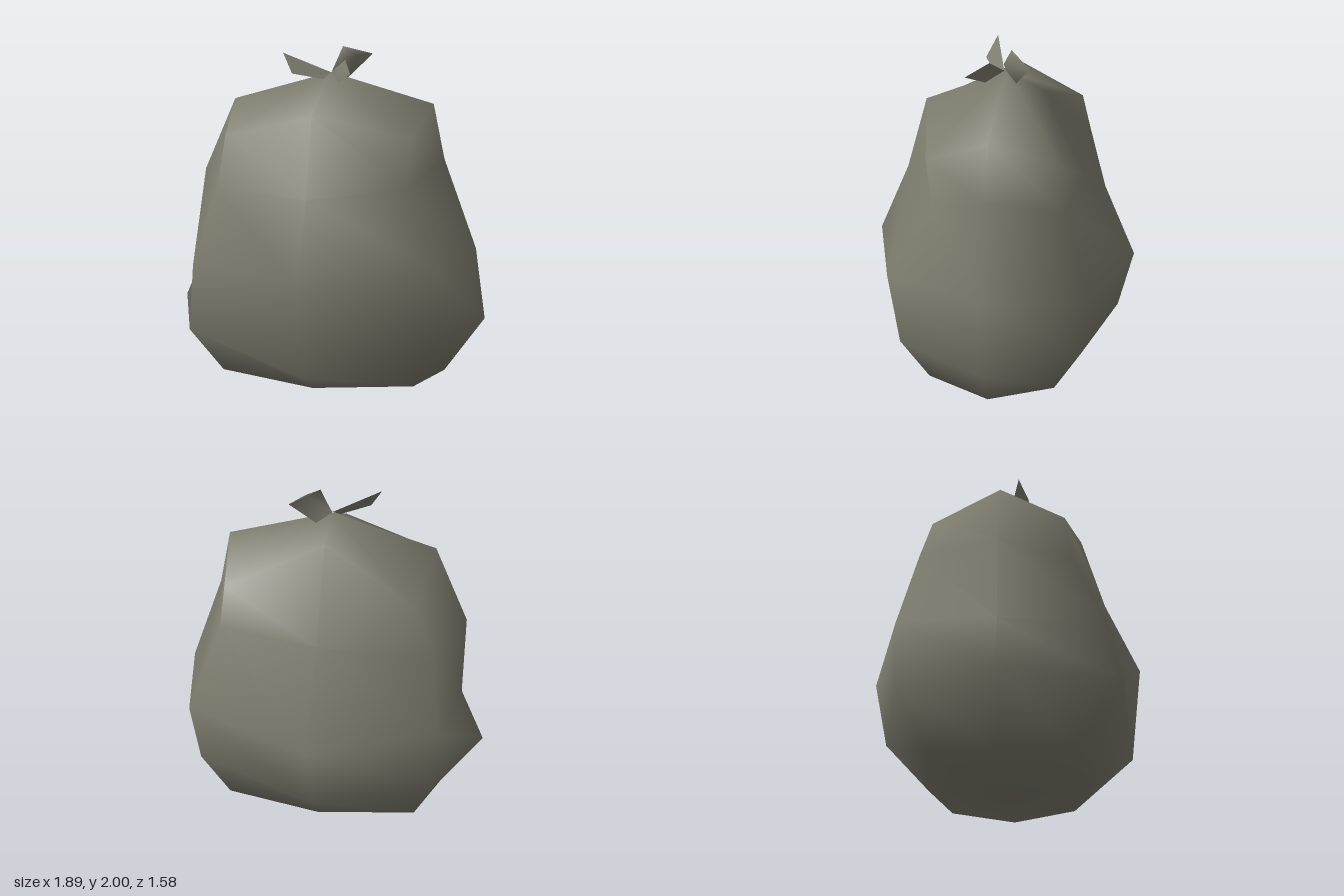
import * as THREE from 'three';

// Cross-sections from bottom to top. Each runs left, front-left, front,
// front-right, right, back-right, back, back-left.
const RINGS = [
  [[0.71, 0.05, 0], [0.58, 0.08, 0.38], [0, 0.05, 0.47], [-0.58, 0.08, 0.38],
    [-0.7, 0.05, 0], [-0.58, 0.08, -0.38], [0, 0.05, -0.45], [0.58, 0.08, -0.38]],
  [[0.945, 0.4, 0], [0.69, 0.4, 0.52], [0, 0.21, 0.72], [-0.68, 0.42, 0.66],
    [-0.95, 0.42, 0], [-0.69, 0.41, -0.55], [0, 0.33, -0.71], [0.7, 0.44, -0.54]],
  [[0.88, 0.83, 0], [0.7, 0.85, 0.57], [0, 0.76, 0.79], [-0.68, 0.78, 0.58],
    [-0.8, 0.75, 0], [-0.7, 0.79, -0.56], [0, 0.71, -0.79], [0.74, 0.8, -0.57]],
  [[0.68, 1.36, 0], [0.52, 1.24, 0.34], [0, 1.2, 0.6], [-0.58, 1.21, 0.41],
    [-0.8, 1.24, 0], [-0.66, 1.22, -0.45], [0, 1.23, -0.47], [0.57, 1.28, -0.42]],
  [[0.61, 1.68, 0], [0.54, 1.52, 0.36], [0, 1.65, 0.47], [-0.54, 1.51, 0.37],
    [-0.6, 1.68, 0], [-0.54, 1.5, -0.4], [0, 1.74, -0.23], [0.54, 1.52, -0.4]],
];

function smoothMesh(name, points, index, material) {
  const geometry = new THREE.BufferGeometry();
  geometry.setAttribute('position', new THREE.Float32BufferAttribute(points.flat(), 3));
  geometry.setIndex(index);
  geometry.computeVertexNormals();
  const mesh = new THREE.Mesh(geometry, material);
  mesh.name = name;
  return mesh;
}

// Lumpy closed sack lofted through the rings
function sack(material) {
  const n = 8;
  const points = [...RINGS.flat(), [0, 0, 0], [0, 1.85, 0]];
  const bottom = points.length - 2, top = points.length - 1;
  const last = (RINGS.length - 1) * n;
  const index = [];
  for (let j = 0; j < n; j++) {
    const k = (j + 1) % n;
    index.push(bottom, j, k);
    for (let r = 0; r < last; r += n) {
      index.push(r + j, r + n + j, r + n + k, r + j, r + n + k, r + k);
    }
    index.push(top, last + k, last + j);
  }
  return smoothMesh('sack', points, index, material);
}

export function createModel() {
  const group = new THREE.Group();
  group.name = 'tiedSack';
  const plastic = new THREE.MeshStandardMaterial({ color: 0x7b7b6d });
  plastic.name = 'greyPlastic';
  plastic.side = THREE.DoubleSide;

  group.add(sack(plastic));

  // Loose tips of the gathered neck
  const quad = [0, 1, 2, 0, 2, 3];
  group.add(smoothMesh('rightTip',
    [[0, 1.85, 0.01], [-0.27, 1.965, 0.09], [-0.2, 1.85, 0.15], [-0.035, 1.815, 0.07]], quad, plastic));
  group.add(smoothMesh('frontTip',
    [[0, 1.85, 0.01], [0.1, 1.93, 0.08], [0.16, 1.86, 0.21], [0.07, 1.8, 0.11]], quad, plastic));
  group.add(smoothMesh('backTip',
    [[0, 1.85, 0], [0.06, 2, -0.04], [0.215, 1.95, -0.165], [0.08, 1.81, -0.07], [0.15, 1.95, -0.01]],
    [0, 3, 4, 3, 2, 4, 2, 1, 4, 1, 0, 4], plastic));
  return group;
}
